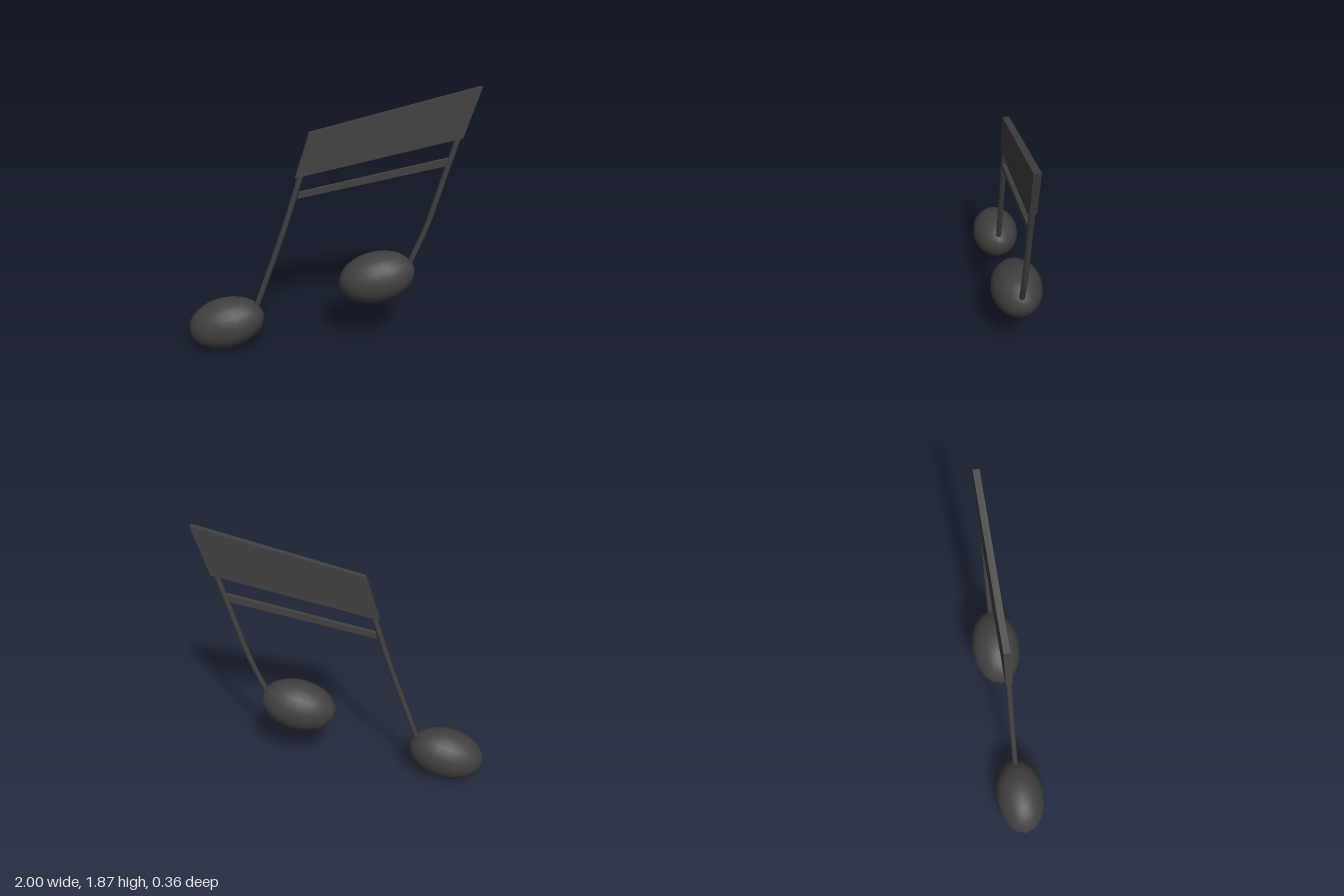
import * as THREE from 'three';

export function createModel() {
  const group = new THREE.Group();
  const charcoal = new THREE.MeshStandardMaterial({ color: 0x404040 });
  charcoal.name = 'charcoal';

  const add = (name, geometry) => {
    const mesh = new THREE.Mesh(geometry, charcoal);
    mesh.name = name;
    group.add(mesh);
    return mesh;
  };

  // Slanted plate from its front outline, centred on z = 0
  const plate = (name, corners, depth) => {
    const shape = new THREE.Shape(corners.map(([x, y]) => new THREE.Vector2(x, y)));
    const geometry = new THREE.ExtrudeGeometry(shape, { depth, bevelEnabled: false });
    add(name, geometry.translate(0, 0, -depth / 2));
  };

  // Tilted egg-shaped note heads
  const head = (name, x, y) => {
    const mesh = add(name, new THREE.SphereGeometry(1, 16, 12).scale(0.275, 0.182, 0.178));
    mesh.rotation.z = 0.24;
    mesh.position.set(x, y, 0);
  };
  head('rightNoteHead', -0.73, 0.19);
  head('leftNoteHead', 0.34, 0.522);

  // Slightly bowed stems with closed ends
  const stem = (name, points) => {
    const curve = new THREE.CatmullRomCurve3(points.map(([x, y]) => new THREE.Vector3(x, y, 0)));
    add(name, new THREE.TubeGeometry(curve, 10, 0.02, 8));
    [0, 1].forEach((t) => {
      const cap = add(name + 'Cap', new THREE.CircleGeometry(0.02, 8));
      const tangent = curve.getTangent(t).multiplyScalar(t ? 1 : -1);
      cap.position.copy(curve.getPoint(t));
      cap.quaternion.setFromUnitVectors(new THREE.Vector3(0, 0, 1), tangent);
    });
  };
  stem('rightStem', [[-0.51, 0.32], [-0.315, 0.875], [-0.18, 1.31]]);
  stem('leftStem', [[0.575, 0.635], [0.675, 0.89], [0.785, 1.27], [0.865, 1.55]]);

  // Broad beam and the narrow bar below it
  plate('beam', [[-0.225, 1.278], [0.89, 1.535], [0.997, 1.877], [-0.13, 1.585]], 0.044);
  plate('lowerBar', [[-0.21, 1.13], [0.785, 1.34], [0.8, 1.393], [-0.2, 1.172]], 0.03);

  return group;
}
